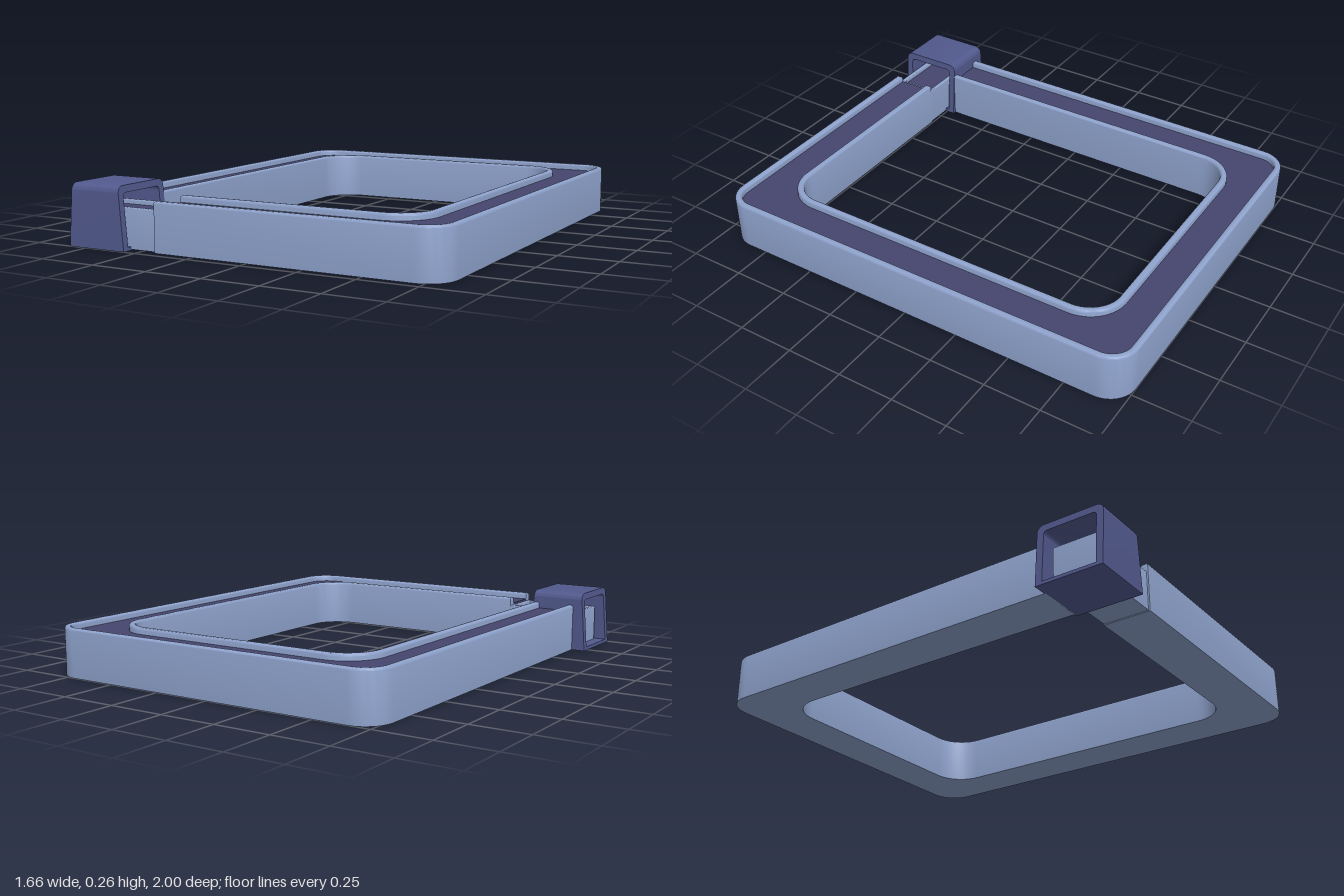
import * as THREE from 'three';
import { toCreasedNormals } from 'three/addons/utils/BufferGeometryUtils.js';

const light = new THREE.MeshStandardMaterial({ color: 0x8ea2cc });
const dark = new THREE.MeshStandardMaterial({ color: 0x45456f });
const clipBlue = new THREE.MeshStandardMaterial({ color: 0x525a8e });

const ARM_END = 0.715;  // z where the side arm meets the clip
const BAR_END = -0.43;  // x where the front bar meets the connector

// Open outline around the frame, from the side arm's end to the front bar's end
function outline(x0, x1, z0, z1, r) {
  const pts = [new THREE.Vector2(x0, ARM_END)];
  const corners = [[x0 + r, z0 + r], [x1 - r, z0 + r], [x1 - r, z1 - r]];
  corners.forEach(([cx, cz], k) => {
    for (let i = 0; i <= 10; i++) {
      const a = Math.PI * (1 + k / 2 + i / 20);
      pts.push(new THREE.Vector2(cx + r * Math.cos(a), cz + r * Math.sin(a)));
    }
  });
  pts.push(new THREE.Vector2(BAR_END, z1));
  return pts;
}
const outer = d => outline(-0.77 + d, 0.83 - d, -1 + d, 0.96 - d, 0.12 - d);
const inner = d => outline(-0.57 - d, 0.625 + d, -0.8 - d, 0.755 + d, 0.14 + d);
const band = (a, b) => new THREE.Shape([...a, ...b.reverse()]);

const rect = (P, x0, x1, z0, z1) => new P([
  new THREE.Vector2(x0, z0), new THREE.Vector2(x1, z0),
  new THREE.Vector2(x1, z1), new THREE.Vector2(x0, z1)]);

// Upright slab from a plan shape (x, z), rounded on its top edges only
function slab(name, shape, y0, y1, material, bevel = 0) {
  const geo = new THREE.ExtrudeGeometry(shape, {
    depth: y1 - y0 - bevel, curveSegments: 10, bevelEnabled: bevel > 0,
    bevelSize: bevel, bevelThickness: bevel, bevelOffset: -bevel, bevelSegments: 3,
  });
  geo.rotateX(Math.PI / 2).translate(0, y1 - bevel, 0);
  const p = geo.attributes.position;
  // flatten the underside: drop the lower bevel to a flat base
  for (let i = 0; i < p.count; i++) p.setY(i, Math.max(p.getY(i), y0));
  const mesh = new THREE.Mesh(toCreasedNormals(geo, 0.6), material);
  mesh.name = name;
  return mesh;
}

// Clip: a tapered loop with rounded upper corners, open at both sides
function makeClip() {
  const r = 0.03;
  const s = new THREE.Shape();
  s.moveTo(0.71, 0).lineTo(1, 0).lineTo(1, 0.265 - r);
  s.absarc(1 - r, 0.265 - r, r, 0, Math.PI / 2, false);
  s.lineTo(0.71 + r, 0.265);
  s.absarc(0.71 + r, 0.265 - r, r, Math.PI / 2, Math.PI, false);
  s.lineTo(0.71, 0);
  const h = new THREE.Path(), q = 0.015;
  h.moveTo(0.74, 0.015).lineTo(0.97, 0.015).lineTo(0.97, 0.235 - q);
  h.absarc(0.97 - q, 0.235 - q, q, 0, Math.PI / 2, false);
  h.lineTo(0.74 + q, 0.235);
  h.absarc(0.74 + q, 0.235 - q, q, Math.PI / 2, Math.PI, false);
  h.lineTo(0.74, 0.015);
  s.holes.push(h);
  const geo = new THREE.ExtrudeGeometry(s, { depth: 1, bevelEnabled: false, curveSegments: 8 });
  geo.translate(0, 0, -0.5).rotateY(-Math.PI / 2);
  const p = geo.attributes.position;
  for (let i = 0; i < p.count; i++) {
    const width = 0.278 - 0.042 * (p.getY(i) / 0.265);
    p.setX(i, -0.693 + p.getX(i) * width);
  }
  const mesh = new THREE.Mesh(toCreasedNormals(geo, 0.6), clipBlue);
  mesh.name = 'clip';
  return mesh;
}

export function createModel() {
  const model = new THREE.Group();
  model.name = 'frameWithClip';

  // Main frame: two raised rims with a sunken floor between them
  const frame = new THREE.Group();
  frame.name = 'frame';
  frame.add(
    slab('outerRim', band(outer(0), outer(0.03)), 0, 0.21, light, 0.01),
    slab('innerRim', band(inner(0), inner(0.03)), 0, 0.21, light, 0.01),
    slab('frameBody', band(outer(0.03), inner(0.03)), 0, 0.17, light),
    slab('frameFloor', band(outer(0.03), inner(0.03)), 0.17, 0.182, dark),
  );

  // Lower connector tray running from the front bar into the clip
  const connector = new THREE.Group();
  connector.name = 'connector';
  const rim = rect(THREE.Shape, -0.78, BAR_END, 0.757, 0.953);
  rim.holes.push(rect(THREE.Path, -0.76, BAR_END - 0.02, 0.777, 0.933));
  const tray = rect(THREE.Shape, -0.76, BAR_END - 0.02, 0.777, 0.933);
  connector.add(
    slab('connectorRim', rim, 0.004, 0.175, light, 0.006),
    slab('connectorBody', tray, 0.004, 0.145, light),
    slab('connectorFloor', tray, 0.145, 0.155, dark),
  );

  model.add(frame, connector, makeClip());
  return model;
}
